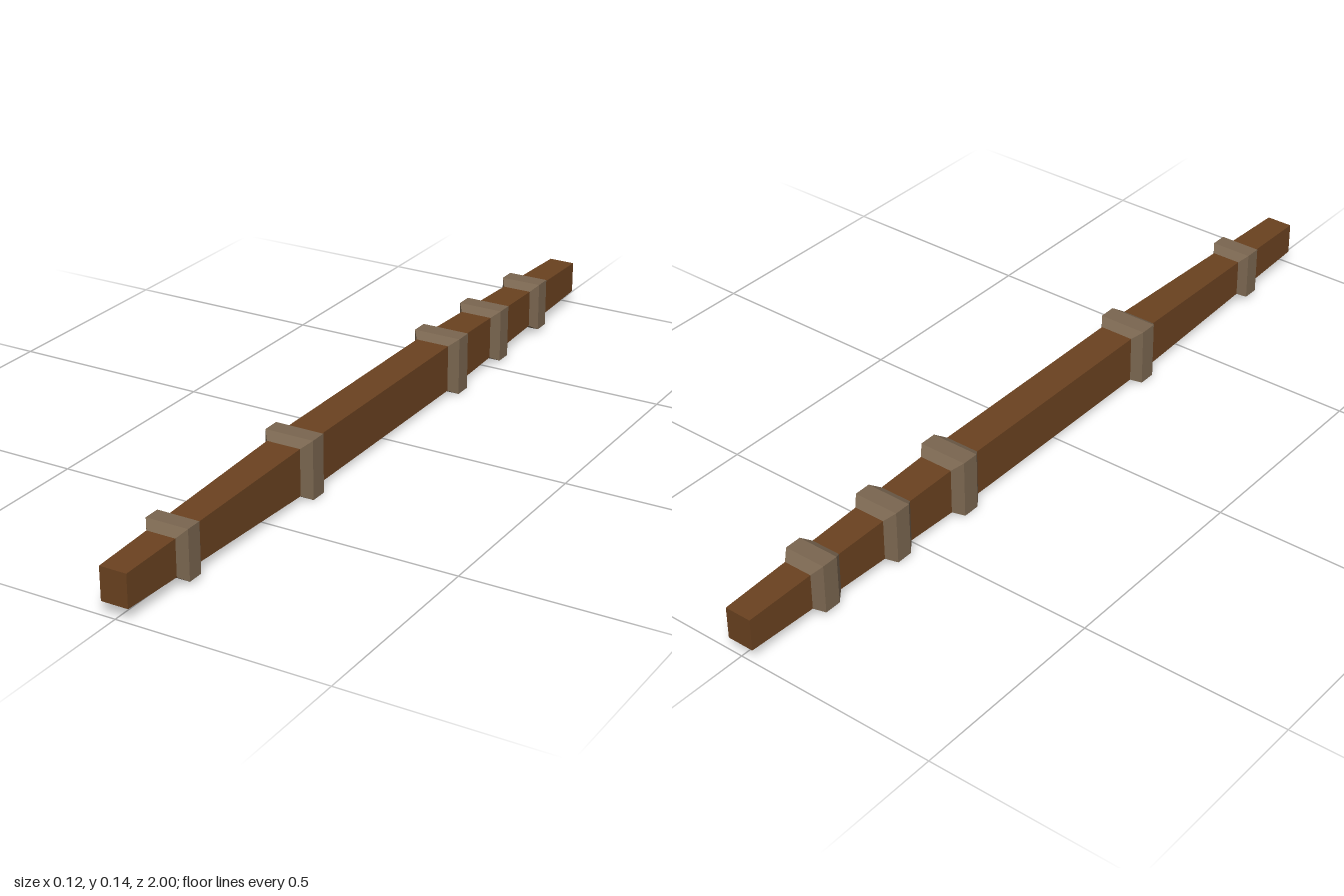
import * as THREE from 'three';

const CENTRE_Y = 0.0725;

// Lofts rectangular sections [z, halfWidth, halfHeight], ordered from -z to +z, and caps both ends.
function loft(sections) {
  const rings = sections.map(([z, w, h]) => [[-w, -h, z], [w, -h, z], [w, h, z], [-w, h, z]]);
  const pos = [];
  const quad = (a, b, c, d) => pos.push(...a, ...b, ...c, ...a, ...c, ...d);
  for (let i = 0; i < rings.length - 1; i++) {
    const a = rings[i], b = rings[i + 1];
    for (let k = 0; k < 4; k++) {
      const n = (k + 1) % 4;
      quad(a[k], a[n], b[n], b[k]);
    }
  }
  const first = rings[0], last = rings[rings.length - 1];
  quad(first[3], first[2], first[1], first[0]);
  quad(last[0], last[1], last[2], last[3]);
  const geometry = new THREE.BufferGeometry();
  geometry.setAttribute('position', new THREE.Float32BufferAttribute(pos, 3));
  geometry.computeVertexNormals();
  return geometry;
}

// Half width and half height of the shaft at z: straight middle, tapered ends
function shaftSize(z) {
  const t = Math.max(0, (Math.abs(z) - 0.335) / 0.665);
  return [0.043 - 0.010 * t, 0.058 - 0.0185 * t];
}

export function createModel() {
  const group = new THREE.Group();
  const wood = new THREE.MeshStandardMaterial({ color: 0x6b4220, flatShading: true });
  const binding = new THREE.MeshStandardMaterial({ color: 0x7a6650, flatShading: true });

  const add = (name, geometry, material) => {
    const mesh = new THREE.Mesh(geometry, material);
    mesh.name = name;
    mesh.position.y = CENTRE_Y;
    group.add(mesh);
  };

  // Tapered wooden shaft
  add('shaft', loft([-1, -0.335, 0.335, 1].map((z) => [z, ...shaftSize(z)])), wood);

  // Bevelled bands: centre z, half width, half height, half length
  const bands = [
    [0.795, 0.052, 0.060, 0.042],
    [0.332, 0.061, 0.0715, 0.045],
    [-0.335, 0.061, 0.0715, 0.045],
    [-0.557, 0.057, 0.066, 0.043],
    [-0.78, 0.052, 0.061, 0.043],
  ];
  bands.forEach(([z, w, h, l], i) => {
    const flat = l * 0.48;
    add(`band${i + 1}`, loft([
      [z - l, ...shaftSize(z - l)],
      [z - flat, w, h],
      [z + flat, w, h],
      [z + l, ...shaftSize(z + l)],
    ]), binding);
  });

  return group;
}
